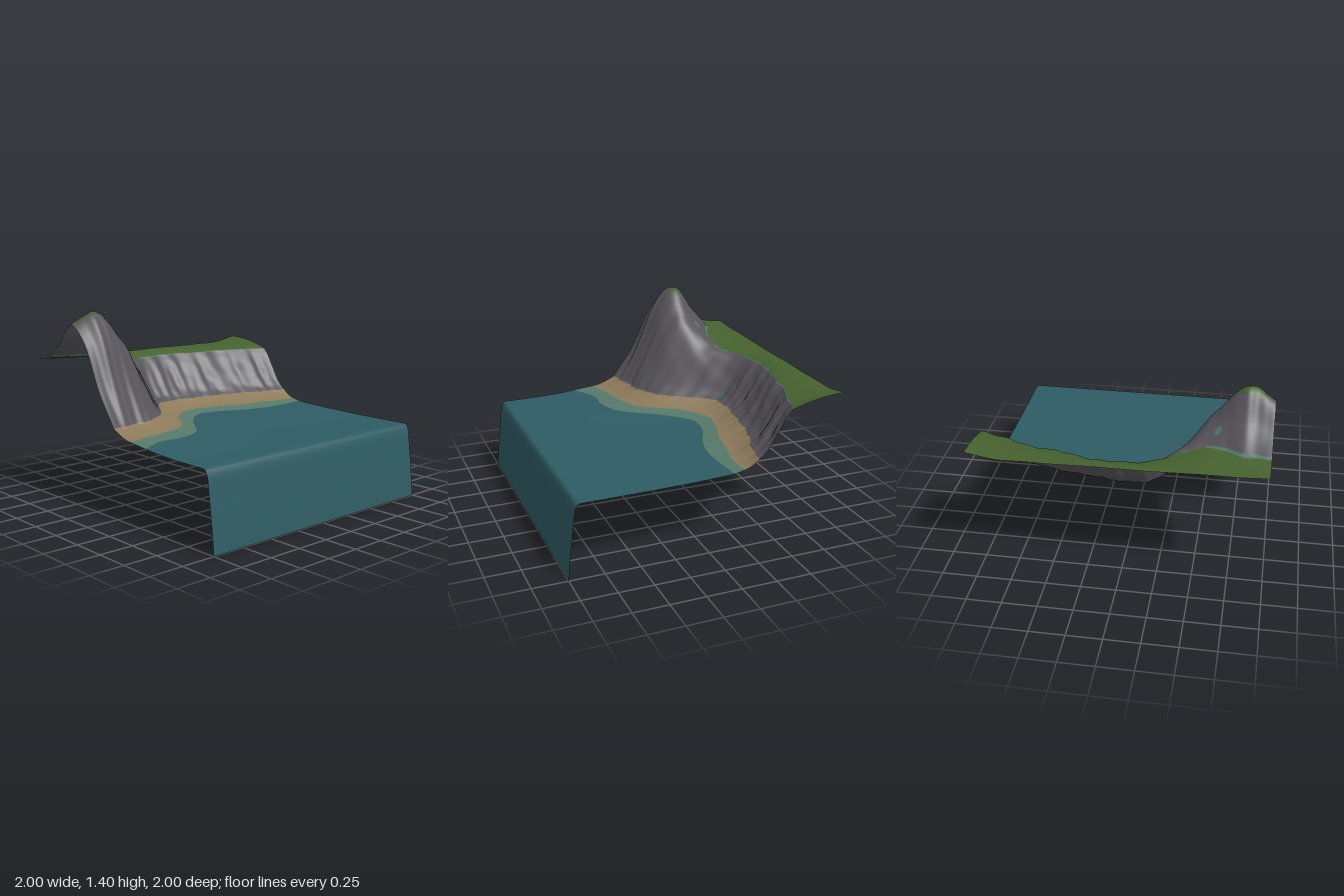
import * as THREE from 'three';

const ROWS = 180;

// Smooth interpolation through evenly spaced values, u from 0 to 1
function spline(v, u) {
  const n = v.length - 1, f = Math.min(Math.max(u, 0), 1) * n;
  const i = Math.min(Math.floor(f), n - 1), t = f - i;
  const b = v[i], c = v[i + 1];
  const a = i > 0 ? v[i - 1] : 2 * b - c, d = i + 2 <= n ? v[i + 2] : 2 * c - b;
  return b + 0.5 * t * (c - a + t * (2 * a - 5 * b + 4 * c - d + t * (3 * (b - c) + d - a)));
}

// Contour lines: x at z = -1, -0.8 ... 1
const clifftop = [-0.6, -0.67, -0.75, -0.78, -0.84, -0.85, -0.82, -0.71, -0.7, -0.79, -0.82];
const cliffFoot = [-0.36, -0.4, -0.48, -0.53, -0.56, -0.59, -0.54, -0.26, -0.11, -0.07, -0.02];
const sandEdge = [-0.25, -0.25, -0.3, -0.34, -0.41, -0.43, -0.3, -0.02, 0.07, 0.11, 0.16];
const shoalEdge = [-0.18, -0.16, -0.16, -0.21, -0.3, -0.31, -0.13, 0.14, 0.22, 0.22, 0.33];
// Height of the outer meadow border
const meadowBorder = [1.03, 0.995, 0.995, 0.995, 1, 1, 1, 1.005, 1.01, 1.01, 1.02];

// Rock heights from clifftop to foot, for the plain cliff and for the headland
const plain = [0.962, 0.9, 0.82, 0.74, 0.675, 0.635];
const rockRows = [plain, plain, plain, plain, plain, plain, plain,
  [0.98, 0.97, 0.92, 0.82, 0.71, 0.635],
  [1.03, 1.13, 1.17, 1.03, 0.82, 0.635],
  [1.04, 1.2, 1.39, 1.26, 0.92, 0.635],
  [1.05, 1.16, 1.31, 1.19, 0.87, 0.64]];
const rockColumns = plain.map((_, k) => rockRows.map(r => r[k]));

// Profile of the drop at the seaward border
const dropX = [0.9, 0.925, 0.945, 0.96, 0.98, 1];
const dropY = [0.54, 0.53, 0.48, 0.36, 0.2, 0];

// Bands from inland to sea: name, number of columns, point at s (0 to 1) for a row
const bands = [
  { part: 'grass', cols: 12, at: (s, r) => [
    THREE.MathUtils.lerp(-1, r.top, s), THREE.MathUtils.lerp(r.border, r.rock[0], s * s)] },
  { part: 'rock', cols: 44, at: (s, r) => {
    const z = r.z, fade = Math.sin(Math.PI * s);
    const gully = Math.sin(z * 23 + 2 * s) + 0.6 * Math.sin(z * 41 + 1 + 3 * s) + 0.4 * Math.sin(z * 67);
    return [THREE.MathUtils.lerp(r.top, r.foot, s) + 0.007 * gully * fade,
      spline(r.rock, s) + 0.003 * fade * Math.sin(s * 19 + z * 14)];
  } },
  { part: 'sand', cols: 8, at: (s, r) => [
    THREE.MathUtils.lerp(r.foot, r.sand, s), 0.577 + (r.rock[5] - 0.577) * (1 - s) ** 1.6] },
  { part: 'shallows', cols: 5, at: (s, r) => [
    THREE.MathUtils.lerp(r.sand, r.shoal, s), 0.577 - 0.017 * s] },
  { part: 'sea', cols: 12, at: (s, r) => [
    THREE.MathUtils.lerp(r.shoal, 0.9, s), 0.54 + 0.02 * (1 - s) ** 3] },
  { part: 'sea', cols: 15, at: s => [spline(dropX, s), Math.max(0, spline(dropY, s))] },
];

const inside = (x, z, cx, cz, rx, rz) => ((x - cx) / rx) ** 2 + ((z - cz) / rz) ** 2 < 1;

// Small patches of another colour on the rock
function rockPatch(x, z, s) {
  if (inside(x, z, -0.49, 0.85, 0.042, 0.115)) return 'grass';
  if (inside(x, z, -0.62, 0.63, 0.02, 0.022)) return 'shallows';
  if (inside(x, z, -0.61, 0.13, 0.02, 0.025)) return 'sea';
  if (s < 0.045 && Math.sin(z * 9 + 1.5) + Math.sin(z * 21) > -0.5) return 'shallows';
  return 'rock';
}

export function createModel() {
  const colours = { grass: 0x46622f, rock: 0x58565b, sand: 0x8c7a5a, shallows: 0x56796a, sea: 0x2f5c64 };
  const names = { grass: 'meadow', rock: 'cliff', sand: 'beach', shallows: 'shallows', sea: 'sea' };

  // Cross-sections along z
  const positions = [];
  const columns = [];
  bands.forEach((band, b) => {
    for (let j = b ? 1 : 0; j <= band.cols; j++) columns.push({ band, s: j / band.cols });
  });
  for (let i = 0; i <= ROWS; i++) {
    const u = i / ROWS, z = 2 * u - 1;
    const row = {
      z,
      top: spline(clifftop, u) + 0.006 * Math.sin(z * 37),
      foot: spline(cliffFoot, u) + 0.006 * Math.sin(z * 31) + 0.004 * Math.sin(z * 73),
      sand: spline(sandEdge, u),
      shoal: spline(shoalEdge, u),
      border: spline(meadowBorder, u),
      rock: rockColumns.map(c => spline(c, u)),
    };
    for (const { band, s } of columns) {
      const [x, y] = band.at(s, row);
      positions.push(x, y, z);
    }
  }

  // Sort the faces into the coloured parts
  const faces = { grass: [], rock: [], sand: [], shallows: [], sea: [] };
  const all = [], w = columns.length;
  for (let i = 0; i < ROWS; i++) {
    for (let j = 0; j < w - 1; j++) {
      const a = i * w + j, b = a + w;
      const { band, s } = columns[j + 1];
      const quad = [a, b, a + 1, a + 1, b, b + 1];
      const part = band.part === 'rock'
        ? rockPatch((positions[a * 3] + positions[a * 3 + 3]) / 2, positions[a * 3 + 2], s)
        : band.part;
      faces[part].push(...quad);
      all.push(...quad);
    }
  }

  // Shared smooth surface, so shading runs on across the colour borders
  const surface = new THREE.BufferGeometry();
  surface.setAttribute('position', new THREE.Float32BufferAttribute(positions, 3));
  surface.setIndex(all);
  surface.computeVertexNormals();

  const group = new THREE.Group();
  group.name = 'coast';
  for (const part of Object.keys(faces)) {
    const geometry = new THREE.BufferGeometry();
    geometry.setAttribute('position', surface.attributes.position);
    geometry.setAttribute('normal', surface.attributes.normal);
    geometry.setIndex(faces[part]);
    const material = new THREE.MeshStandardMaterial({ color: colours[part], side: THREE.DoubleSide });
    material.name = part;
    const mesh = new THREE.Mesh(geometry, material);
    mesh.name = names[part];
    group.add(mesh);
  }
  return group;
}
